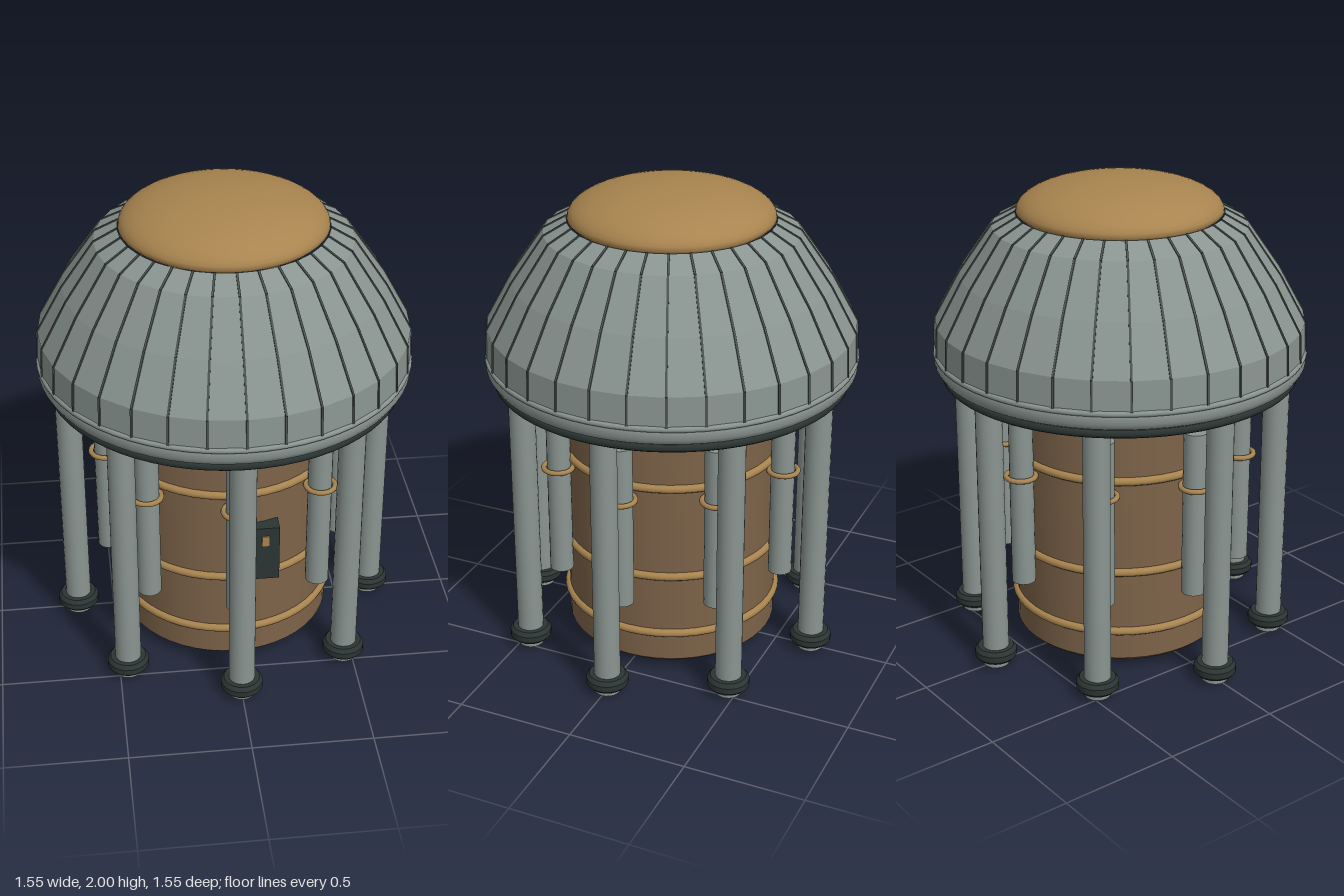
import * as THREE from 'three';
import { mergeGeometries, toCreasedNormals } from 'three/addons/utils/BufferGeometryUtils.js';

const mat = (name, color) => {
  const m = new THREE.MeshStandardMaterial({ color });
  m.name = name;
  return m;
};

// Revolved profile of [radius, y] pairs, listed bottom to top
const lathe = (pts, sides = 32, crease = 0.6) =>
  toCreasedNormals(new THREE.LatheGeometry(pts.map(p => new THREE.Vector2(p[0], p[1])), sides), crease);

const ring = (radius, tube, y, sides = 48) =>
  new THREE.TorusGeometry(radius, tube, 10, sides).rotateX(Math.PI / 2).translate(0, y, 0);

const cylinder = (radius, y0, y1) =>
  new THREE.CylinderGeometry(radius, radius, y1 - y0, 20).translate(0, (y0 + y1) / 2, 0);

export function createModel() {
  const model = new THREE.Group();
  const grey = mat('grey metal', 0x8a9591);
  const dark = mat('dark metal', 0x2b3533);
  const seam = mat('seam grey', 0x4a5350);
  const tan = mat('tan brass', 0xa8844f);
  const brown = mat('brown casing', 0x7d6349);

  const add = (name, geometry, material, parent = model) => {
    const mesh = new THREE.Mesh(geometry, material);
    mesh.name = name;
    parent.add(mesh);
    return mesh;
  };

  // Central drum with hoops
  add('drum', lathe([[0, 0.035], [0.435, 0.035], [0.45, 0.05], [0.45, 1.125], [0.435, 1.14], [0, 1.14]], 48), brown);
  for (const y of [0.18, 0.455, 0.865, 1.09]) add('drumHoop', ring(0.452, 0.018, y), tan);

  // Control panel on the front of the drum
  add('controlPanel', new THREE.BoxGeometry(0.115, 0.255, 0.08).translate(0.117, 0.588, 0.45), dark);
  add('panelWindow', new THREE.BoxGeometry(0.032, 0.05, 0.006).translate(0.117, 0.652, 0.492), tan);

  // Faceted dome panels
  const profile = [[0.768, 1.29], [0.762, 1.42], [0.655, 1.615], [0.52, 1.81], [0.425, 1.862]];
  add('domePanels', lathe(profile, 32, 0.05), grey);

  // Seams between the panels
  const seams = [];
  for (let i = 0; i < 32; i++) {
    for (let j = 0; j < profile.length - 1; j++) {
      const [r0, y0] = profile[j], [r1, y1] = profile[j + 1];
      seams.push(new THREE.BoxGeometry(0.008, Math.hypot(r1 - r0, y1 - y0), 0.009)
        .rotateZ(Math.atan2(r0 - r1, y1 - y0))
        .translate((r0 + r1) / 2, (y0 + y1) / 2, 0)
        .rotateY(i * Math.PI / 16));
    }
  }
  add('domeSeams', mergeGeometries(seams), seam);

  // Rim, underside and top cap
  add('domeRim', lathe([[0, 1.185], [0.73, 1.185], [0.735, 1.21], [0.757, 1.222], [0.77, 1.245], [0.768, 1.275], [0.76, 1.3]], 64), grey);
  add('rimBead', ring(0.762, 0.013, 1.288, 64), grey);
  add('baseRing', ring(0.724, 0.021, 1.195, 64), dark);
  const cap = [[0.41, 1.855], [0.422, 1.868]];
  for (let i = 1; i <= 12; i++) {
    const a = i * Math.PI / 24;
    cap.push([0.422 * Math.cos(a), 1.868 + 0.132 * Math.sin(a)]);
  }
  cap[cap.length - 1][0] = 0;
  add('topCap', lathe(cap, 48, 1), tan);

  // Eight legs, each with a foot and an inner hanging tube
  const legGeo = cylinder(0.055, 0.04, 1.2);
  const soleGeo = cylinder(0.054, 0, 0.045);
  const footGeo = lathe([[0.05, 0.028], [0.075, 0.028], [0.088, 0.042], [0.088, 0.068], [0.075, 0.085], [0.05, 0.085]], 20);
  const tubeGeo = cylinder(0.05, 0.345, 1.065);
  const clampGeo = ring(0.061, 0.011, 0.825, 24);
  for (let i = 0; i < 8; i++) {
    const bay = new THREE.Group();
    bay.name = 'legBay';
    bay.rotation.y = i * Math.PI / 4;
    add('leg', legGeo, grey, bay).position.x = 0.655;
    add('footSole', soleGeo, grey, bay).position.x = 0.655;
    add('footCollar', footGeo, dark, bay).position.x = 0.655;
    add('hangingTube', tubeGeo, grey, bay).position.x = 0.505;
    add('tubeClamp', clampGeo, tan, bay).position.x = 0.508;
    model.add(bay);
  }

  // Slim brace from the dome down to the drum
  const brace = new THREE.LineCurve3(new THREE.Vector3(-0.6, 1.2, 0), new THREE.Vector3(-0.47, 1.06, 0));
  add('brace', new THREE.TubeGeometry(brace, 1, 0.012, 8), grey);

  return model;
}
